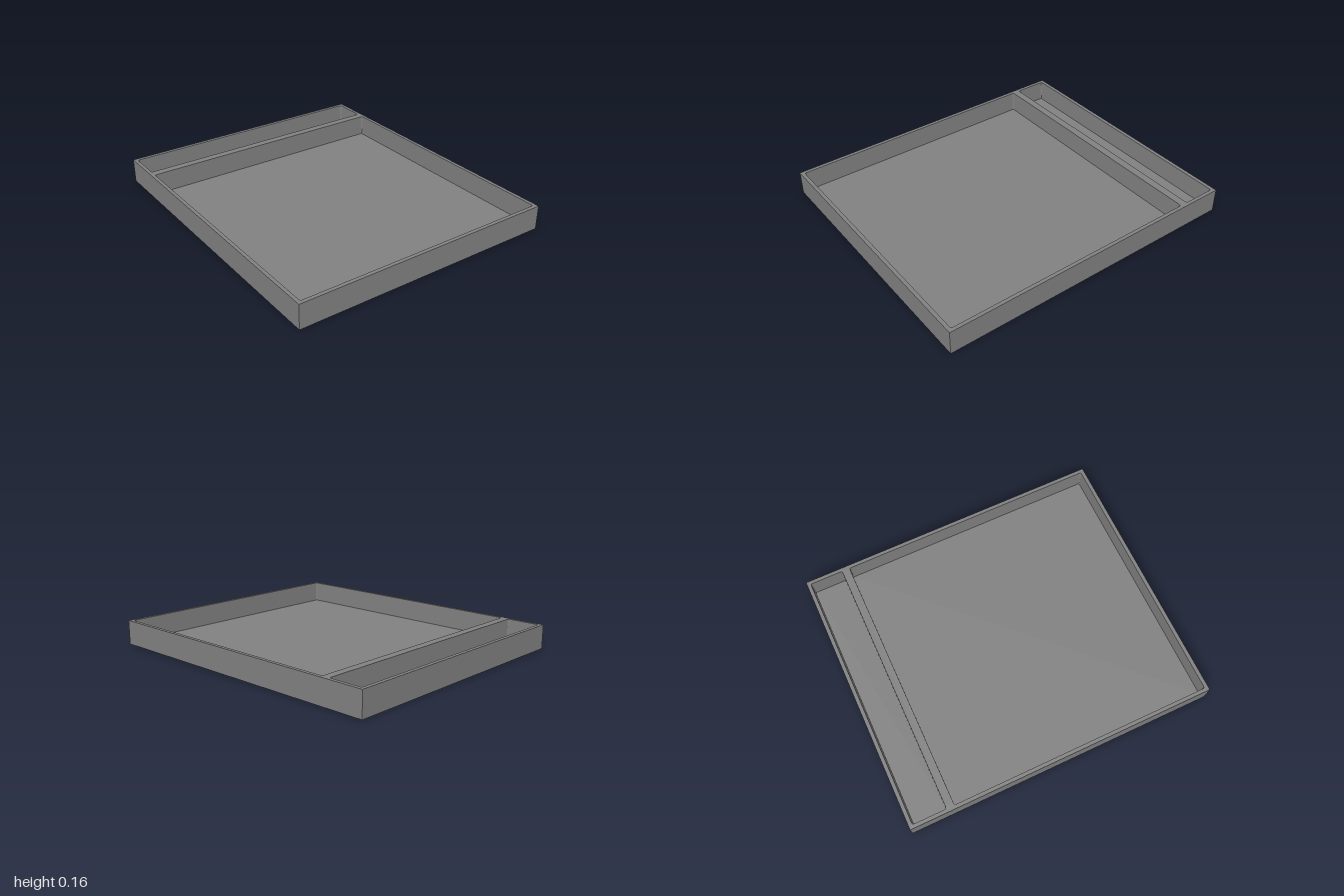
import * as THREE from 'three';

const HEIGHT = 0.157, FLOOR_Y = 0.02, HALF_X = 1, HALF_Z = 0.864;
const material = new THREE.MeshStandardMaterial({ color: 0x808080, side: THREE.DoubleSide });

// Rectangle outline with rounded corners, counter-clockwise seen from above
function outline(x0, x1, halfZ, r = 0, steps = 5) {
  if (r === 0) {
    return [[x1, halfZ], [x0, halfZ], [x0, -halfZ], [x1, -halfZ]].map(([x, y]) => new THREE.Vector2(x, y));
  }
  const centres = [[x1 - r, halfZ - r], [x0 + r, halfZ - r], [x0 + r, r - halfZ], [x1 - r, r - halfZ]];
  return centres.flatMap(([cx, cy], corner) =>
    Array.from({ length: steps + 1 }, (_, i) => {
      const a = (corner + i / steps) * Math.PI / 2;
      return new THREE.Vector2(cx + r * Math.cos(a), cy + r * Math.sin(a));
    }));
}

// Wall strip between two matching outlines at two heights
function wall(from, y0, to, y1) {
  const pos = [];
  const n = from.length;
  for (let i = 0; i < n; i++) {
    const j = (i + 1) % n;
    const a = [from[i].x, y0, -from[i].y], b = [from[j].x, y0, -from[j].y];
    const c = [to[j].x, y1, -to[j].y], d = [to[i].x, y1, -to[i].y];
    pos.push(...a, ...b, ...c, ...a, ...c, ...d);
  }
  const geometry = new THREE.BufferGeometry();
  geometry.setAttribute('position', new THREE.Float32BufferAttribute(pos, 3));
  geometry.computeVertexNormals();
  return geometry;
}

// Flat horizontal sheet with optional holes
function sheet(points, y, holes = []) {
  const shape = new THREE.Shape(points);
  holes.forEach(h => shape.holes.push(new THREE.Path(h)));
  return new THREE.ShapeGeometry(shape).rotateX(-Math.PI / 2).translate(0, y, 0);
}

export function createModel() {
  const tray = new THREE.Group();
  tray.name = 'tray';
  const add = (name, geometry) => {
    const mesh = new THREE.Mesh(geometry, material);
    mesh.name = name;
    tray.add(mesh);
  };

  const pockets = [
    { name: 'narrowPocket', x0: -0.976, x1: -0.76 },
    { name: 'widePocket', x0: -0.709, x1: 0.976 },
  ];
  const pocketZ = 0.841, draft = 0.002;

  // Outer skirt, open underneath
  const outer = outline(-HALF_X, HALF_X, HALF_Z);
  add('outerWalls', wall(outer, 0, outer, HEIGHT));

  // Top rim and divider, pierced by the pockets
  const mouths = pockets.map(p => outline(p.x0, p.x1, pocketZ, 0.012));
  add('rim', sheet(outer, HEIGHT, mouths));

  // Sunken pockets with slightly tapered walls
  pockets.forEach((p, i) => {
    const base = outline(p.x0 + draft, p.x1 - draft, pocketZ - draft, 0.01);
    add(p.name + 'Walls', wall(mouths[i], HEIGHT, base, FLOOR_Y));
    add(p.name + 'Floor', sheet(base, FLOOR_Y));
  });
  return tray;
}
